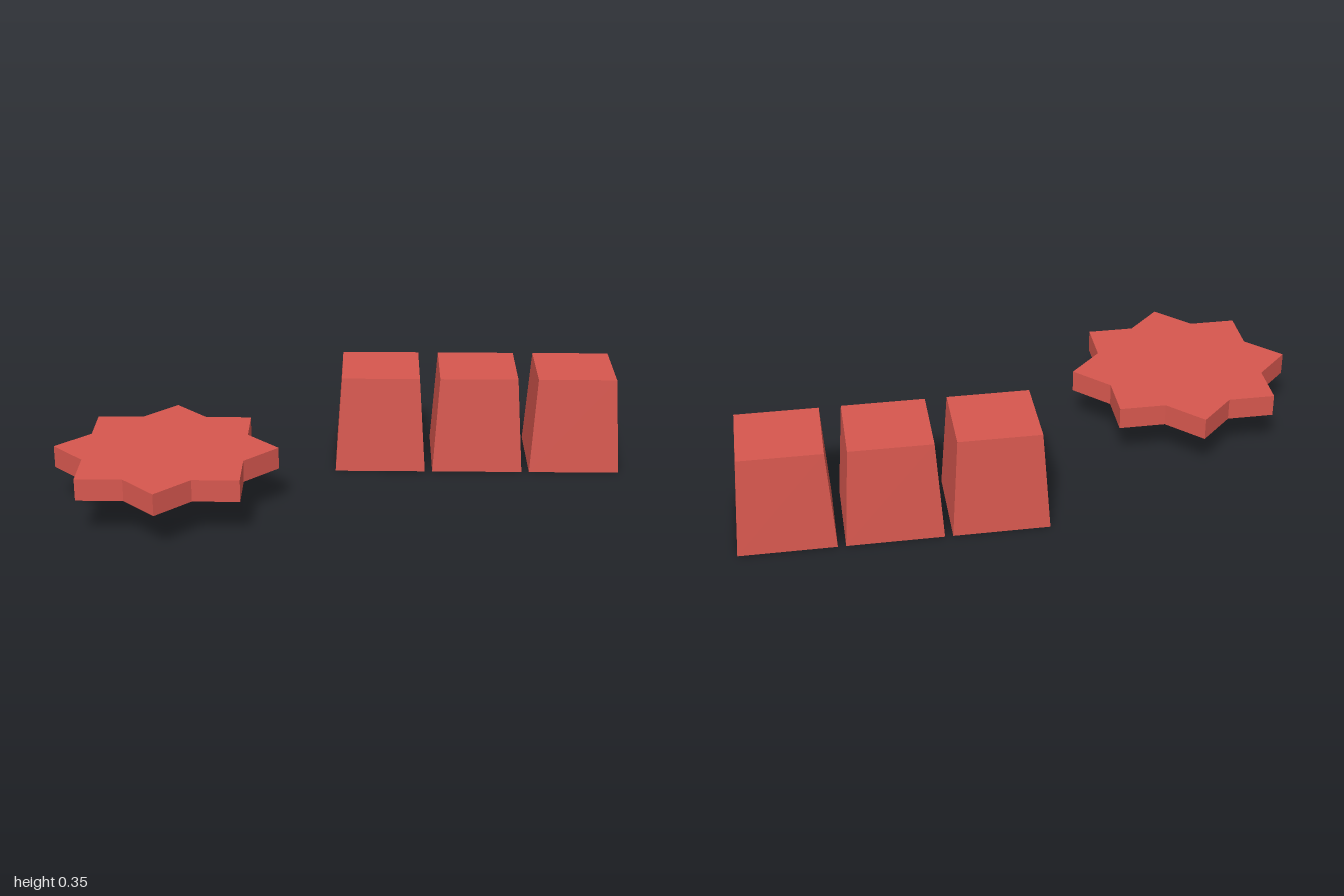
import * as THREE from 'three';

export function createModel() {
  const model = new THREE.Group();
  const red = new THREE.MeshStandardMaterial({ color: 0xd6574e, flatShading: true });
  red.name = 'brick red';

  const add = (geometry, name, x, y, z) => {
    const mesh = new THREE.Mesh(geometry, red);
    mesh.name = name;
    mesh.position.set(x, y, z);
    model.add(mesh);
  };

  // eight-pointed star plate: two overlapping squares
  const outer = 0.389;
  const inner = outer * 0.7654;
  const points = [];
  for (let i = 0; i < 16; i++) {
    const r = i % 2 ? inner : outer;
    const a = (i * Math.PI) / 8;
    points.push(new THREE.Vector2(r * Math.cos(a), r * Math.sin(a)));
  }
  const star = new THREE.ExtrudeGeometry(new THREE.Shape(points), { depth: 0.078, bevelEnabled: false });
  star.rotateX(-Math.PI / 2);
  add(star, 'starPlate', -0.611, 0.139, 0.116);

  // row of three square blocks, tapering towards the top
  const height = 0.352;
  const block = new THREE.CylinderGeometry(0.28 * Math.SQRT1_2, 0.326 * Math.SQRT1_2, height, 4);
  block.rotateY(Math.PI / 4);
  for (let i = 0; i < 3; i++) {
    add(block, `taperedBlock${i + 1}`, 0.131 + i * 0.353, height / 2, -0.342);
  }
  return model;
}
